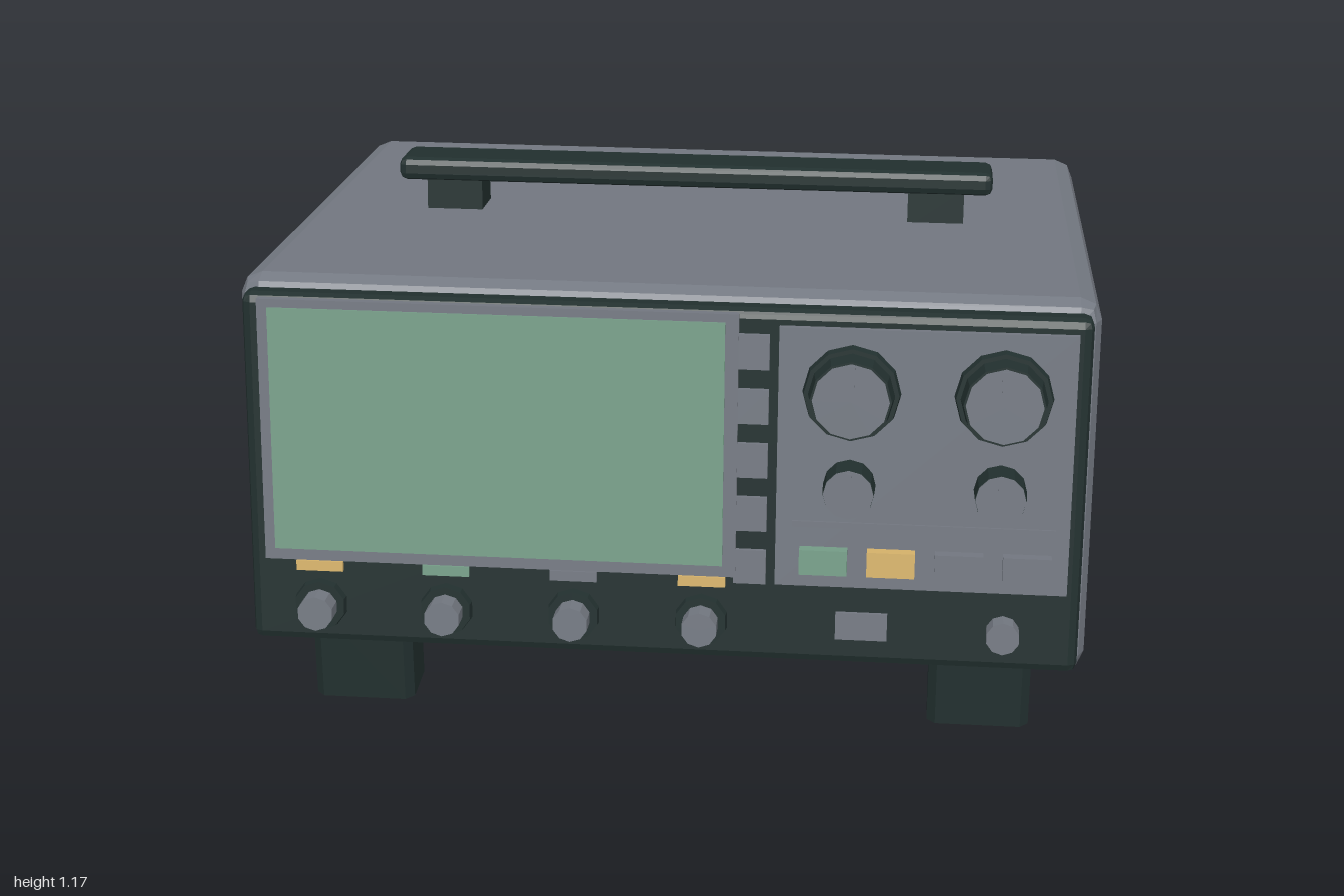
import * as THREE from 'three';
import { RoundedBoxGeometry } from 'three/addons/geometries/RoundedBoxGeometry.js';

const mat = (name, color) => {
  const m = new THREE.MeshStandardMaterial({ color });
  m.name = name;
  return m;
};

export function createModel() {
  const grey = mat('case grey', 0x747982);
  const dark = mat('dark trim', 0x22302f);
  const green = mat('screen green', 0x779f89);
  const amber = mat('amber', 0xd8b46c);

  const model = new THREE.Group();
  model.name = 'benchInstrument';

  // Everything except the feet leans back by six degrees
  const unit = new THREE.Group();
  unit.name = 'tiltedUnit';
  unit.position.set(0, 0.587, -0.053);
  unit.rotation.x = -Math.PI / 30;
  model.add(unit);

  const add = (parent, name, geo, material, x, y, z) => {
    const flat = geo.index ? geo.toNonIndexed() : geo;
    flat.computeVertexNormals();
    const mesh = new THREE.Mesh(flat, material);
    mesh.name = name;
    mesh.position.set(x, y, z);
    parent.add(mesh);
    return mesh;
  };
  const box = (name, material, w, h, d, x, y, z) =>
    add(unit, name, new THREE.BoxGeometry(w, h, d), material, x, y, z);
  const rounded = (name, material, w, h, d, r, x, y, z) =>
    add(unit, name, new RoundedBoxGeometry(w, h, d, 1, r), material, x, y, z);
  // Plate on the front, given by its back and front depth
  const plate = (name, material, w, h, x, y, z0, z1) =>
    box(name, material, w, h, z1 - z0, x, y, (z0 + z1) / 2);
  // Cylinder facing forward, rBack to rFront
  const dial = (name, material, rBack, rFront, sides, x, y, z0, z1) =>
    add(unit, name, new THREE.CylinderGeometry(rFront, rBack, z1 - z0, sides).rotateX(Math.PI / 2),
      material, x, y, (z0 + z1) / 2);

  // Case and front bezel
  rounded('case', grey, 1.98, 0.905, 1.61, 0.05, 0, 0, 0);
  rounded('bezel', dark, 1.94, 0.85, 0.09, 0.022, 0, 0, 0.807);

  // Side vents
  for (const side of [-1, 1]) {
    for (let i = 0; i < 4; i++) {
      box('vent', dark, 0.02, 0.044, 0.75, side * 0.99, 0.248 - i * 0.132, -0.085);
    }
  }

  // Carrying handle
  rounded('handleGrip', dark, 1.5, 0.058, 0.162, 0.018, 0, 0.555, 0);
  for (const side of [-1, 1]) {
    box('handlePost', dark, 0.14, 0.1, 0.13, side * 0.61, 0.49, 0);
  }

  // Screen with its surround and soft keys
  plate('screenFrame', grey, 1.105, 0.63, -0.377, 0.101, 0.845, 0.866);
  plate('screen', green, 1.05, 0.583, -0.38, 0.105, 0.864, 0.87);
  for (let i = 0; i < 5; i++) {
    plate('softKey', grey, 0.075, 0.082, 0.208, 0.328 - i * 0.129, 0.845, 0.864);
  }

  // Control panel
  plate('controlPanel', grey, 0.67, 0.617, 0.602, 0.082, 0.845, 0.868);
  plate('panelDivider', grey, 0.6, 0.014, 0.605, -0.074, 0.866, 0.874);
  for (const x of [0.433, 0.775]) {
    dial('largeKnobSkirt', dark, 0.112, 0.108, 12, x, 0.243, 0.866, 0.89);
    dial('largeKnob', dark, 0.098, 0.092, 12, x, 0.243, 0.89, 0.938);
    dial('largeKnobCap', grey, 0.087, 0.087, 12, x, 0.243, 0.936, 0.942);
    plate('largeKnobMark', grey, 0.016, 0.06, x, 0.296, 0.94, 0.947);
    dial('smallKnob', dark, 0.06, 0.058, 12, x, 0.024, 0.866, 0.94);
    dial('smallKnobCap', grey, 0.057, 0.057, 12, x, 0.024, 0.938, 0.945);
    plate('smallKnobMark', grey, 0.012, 0.04, x, 0.056, 0.943, 0.949);
  }
  [green, amber, grey, grey].forEach((m, i) => {
    plate('panelButton', m, 0.11, 0.06, 0.378 + i * 0.155, -0.159, 0.866, 0.897);
  });

  // Input sockets with coloured channel tabs
  [amber, green, grey, amber].forEach((m, i) => {
    const x = -0.803 + i * 0.3;
    plate('channelTab', m, 0.11, 0.024, x, -0.23, 0.845, 0.862);
    dial('socketCollar', dark, 0.064, 0.06, 10, x, -0.326, 0.845, 0.872);
    dial('socket', grey, 0.042, 0.042, 10, x, -0.326, 0.87, 0.925);
  });
  plate('dataPort', grey, 0.12, 0.066, 0.469, -0.326, 0.845, 0.862);
  dial('auxSocket', grey, 0.039, 0.039, 10, 0.795, -0.326, 0.845, 0.9);

  // Upright front feet with chamfered corners, hollow rear feet
  const rect = (Type, w, d, c) => {
    const x = w / 2, y = d / 2;
    return new Type([[-x + c, -y], [x - c, -y], [x, -y + c], [x, y - c],
      [x - c, y], [-x + c, y], [-x, y - c], [-x, -y + c]].map(p => new THREE.Vector2(...p)));
  };
  const extrudeUp = (shape, h) =>
    new THREE.ExtrudeGeometry(shape, { depth: h, bevelEnabled: false }).rotateX(-Math.PI / 2);
  const rearShape = rect(THREE.Shape, 0.245, 0.25, 0.003);
  rearShape.holes.push(rect(THREE.Path, 0.15, 0.15, 0.003));
  for (const side of [-1, 1]) {
    add(model, 'frontFoot', extrudeUp(rect(THREE.Shape, 0.245, 0.165, 0.02), 0.24), dark, side * 0.753, 0, 0.568);
    add(model, 'rearFoot', extrudeUp(rearShape, 0.12), dark, side * 0.753, 0, -0.528);
  }
  return model;
}
